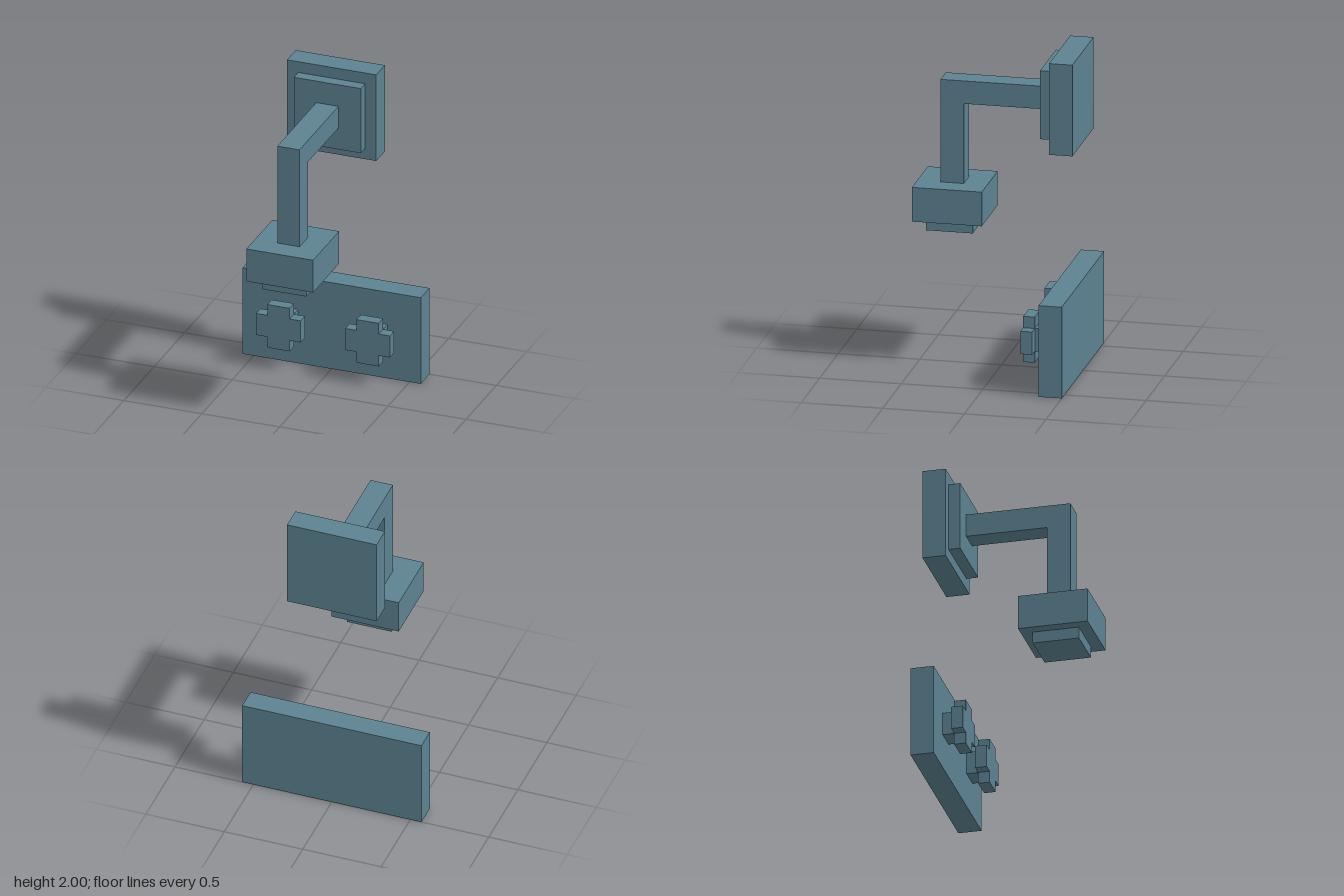
import * as THREE from 'three';

// One modelling unit; the whole fixture is 28 units tall
const U = 1 / 14;

export function createModel() {
  const group = new THREE.Group();
  const steelBlue = new THREE.MeshStandardMaterial({ color: 0x5c8291 });
  steelBlue.name = 'steel blue';

  const add = (name, geometry) => {
    const mesh = new THREE.Mesh(geometry, steelBlue);
    mesh.name = name;
    group.add(mesh);
    return mesh;
  };

  // Box given by its limits on each axis, in units
  const box = (name, [x0, x1], [y0, y1], [z0, z1]) =>
    add(name, new THREE.BoxGeometry((x1 - x0) * U, (y1 - y0) * U, (z1 - z0) * U)
      .translate((x0 + x1) / 2 * U, (y0 + y1) / 2 * U, (z0 + z1) / 2 * U));

  // Extrusion of a polygon, in units
  const extrude = (points, depth) => new THREE.ExtrudeGeometry(
    new THREE.Shape(points.map(([a, b]) => new THREE.Vector2(a * U, b * U))),
    { depth: depth * U, bevelEnabled: false });

  // Wall plates
  box('controlPlate', [-8, 8], [0, 8], [-7, -5]);
  box('wallPlate', [-4, 4], [20, 28], [-7, -5]);
  box('armFlange', [-3, 3], [21, 27], [-5, -4]);

  // Bent arm: profile in (z, y), extruded along x
  const profile = [[-4, 23], [3, 23], [3, 16], [5, 16], [5, 25], [-4, 25]];
  add('arm', extrude(profile, 2).translate(0, 0, -U).rotateY(-Math.PI / 2));

  // Shower head and its spray face
  box('showerHead', [-3, 3], [13, 16], [1, 7]);
  box('sprayFace', [-2, 2], [12, 13], [2, 6]);

  // Pair of cross-shaped tap handles on square stems
  const cross = [[1, 1], [1, 2], [-1, 2], [-1, 1], [-2, 1], [-2, -1],
    [-1, -1], [-1, -2], [1, -2], [1, -1], [2, -1], [2, 1]];
  for (const [side, x] of [['left', 4], ['right', -4]]) {
    box(side + 'TapStem', [x - 1, x + 1], [3, 5], [-5, -4]);
    add(side + 'TapHandle', extrude(cross, 1).translate(x * U, 4 * U, -4 * U));
  }

  return group;
}
